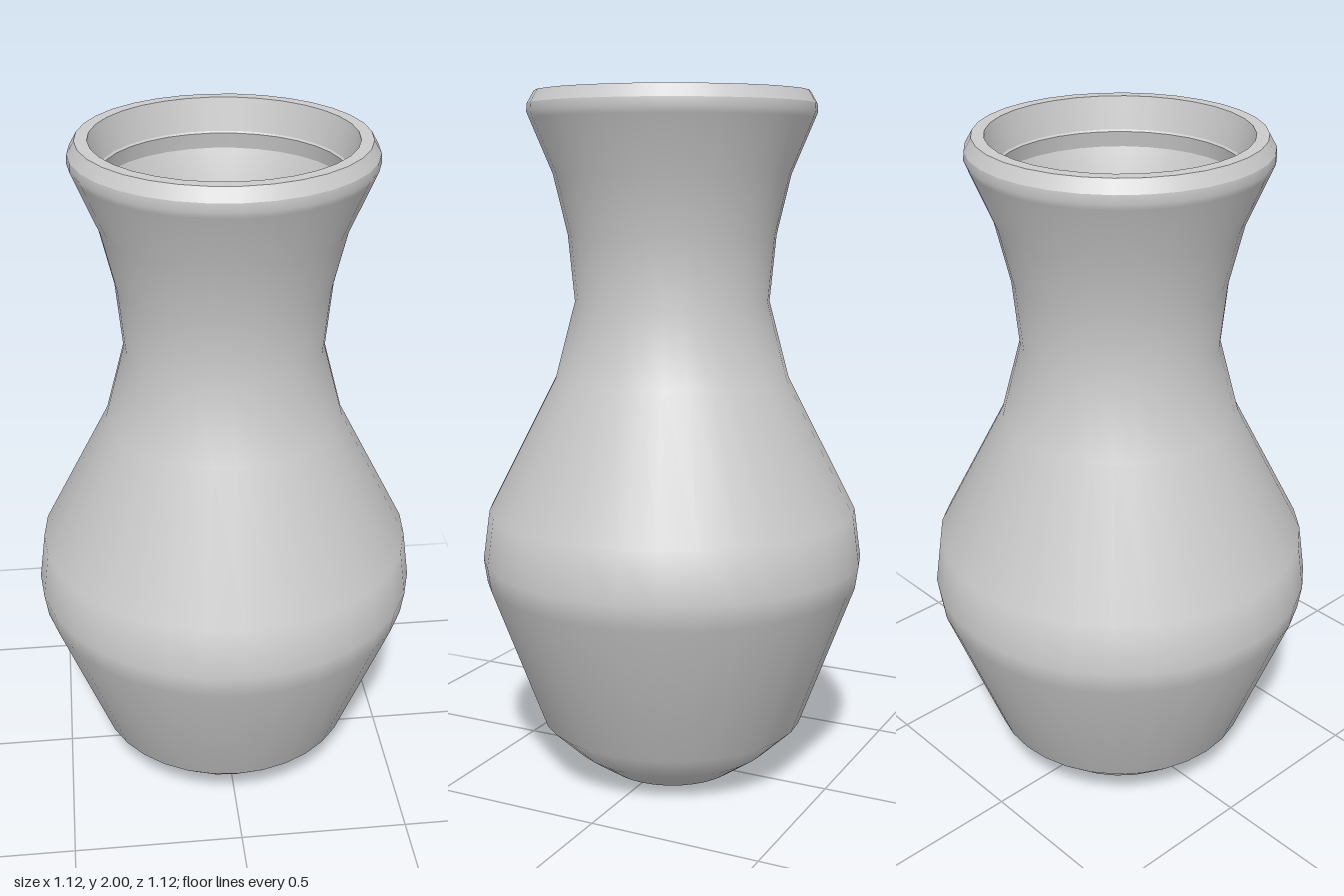
import * as THREE from 'three';

const SIDES = 32;

export function createModel() {
  const vase = new THREE.Group();
  vase.name = 'vase';
  const material = new THREE.MeshStandardMaterial({ color: 0xcccccc });

  // Each ring of the vase is turned from its own profile, so edges between rings stay sharp
  const turn = (name, profile) => {
    const points = profile.map(([r, y]) => new THREE.Vector2(r, y));
    const mesh = new THREE.Mesh(new THREE.LatheGeometry(points, SIDES), material);
    mesh.name = name;
    vase.add(mesh);
  };

  // Foot, belly, neck and flare
  turn('body', [
    [0, 0], [0.2, 0], [0.3, 0.07], [0.39, 0.155], [0.55, 0.585], [0.56, 0.655],
    [0.54, 0.8], [0.34, 1.19], [0.282, 1.41], [0.3, 1.6], [0.34, 1.77], [0.405, 1.925],
  ]);

  // Rounded lip with a flat top and a bevelled mouth
  turn('lipBand', [[0.405, 1.925], [0.412, 1.942], [0.41, 1.965]]);
  turn('lipBevel', [[0.41, 1.965], [0.39, 2]]);
  turn('lipTop', [[0.39, 2], [0.356, 2]]);
  turn('mouthBevel', [[0.356, 2], [0.335, 1.91]]);
  turn('mouthStep', [[0.335, 1.91], [0.33, 1.905]]);
  turn('mouthGroove', [[0.33, 1.905], [0.338, 1.86]]);

  // Hollow inside, down to the floor
  turn('innerWall', [
    [0.338, 1.86], [0.302, 1.76], [0.262, 1.6], [0.245, 1.41], [0.3, 1.18], [0.5, 0.79],
    [0.52, 0.655], [0.51, 0.59], [0.355, 0.18], [0.28, 0.11], [0.18, 0.05], [0, 0.05],
  ]);

  return vase;
}
